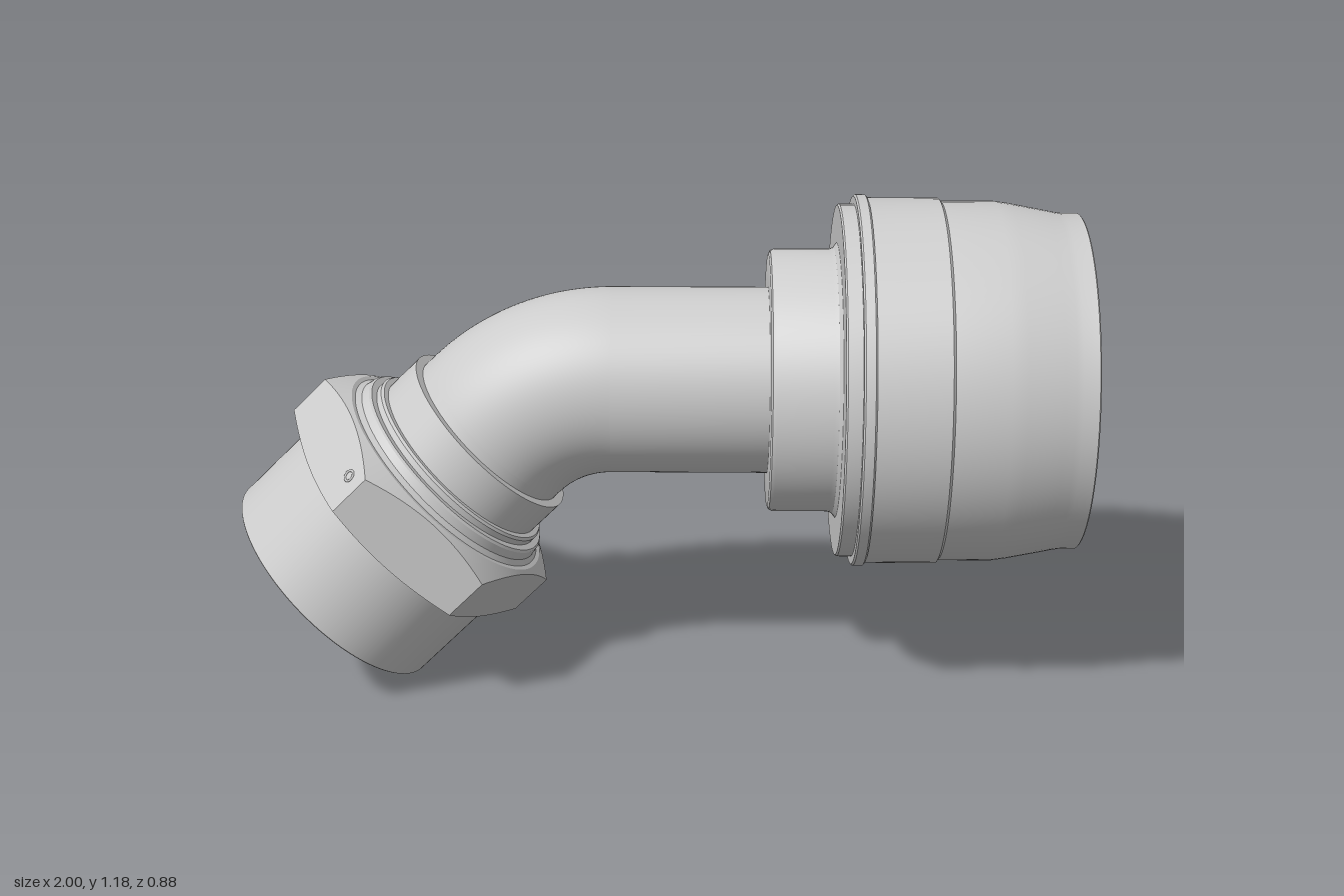
import * as THREE from 'three';
import { toCreasedNormals } from 'three/addons/utils/BufferGeometryUtils.js';

const material = new THREE.MeshStandardMaterial({ color: 0xcccccc, side: THREE.DoubleSide });
const AXIS_Y = 0.745, BEND_X = -0.1, BEND_R = 0.39, PIPE_R = 0.222, BORE_R = 0.19;

function addMesh(parent, name, geometry) {
  const mesh = new THREE.Mesh(geometry, material);
  mesh.name = name;
  parent.add(mesh);
  return mesh;
}

// Turned part: profile of [radius, distance along axis]
function turned(profile, segments = 96) {
  const points = profile.map(([r, s]) => new THREE.Vector2(r, s));
  return toCreasedNormals(new THREE.LatheGeometry(points, segments), 0.45);
}

// Hexagon ring: a lathe whose outer rings are pushed out to six flats, corners chamfered
function hexGeometry(apothem, low, high) {
  const points = [[0.27, low], [0.31, low], [1, low], [1, high], [0.31, high], [0.27, high]];
  const geo = new THREE.LatheGeometry(points.map(([r, s]) => new THREE.Vector2(r, s)), 96);
  const pos = geo.attributes.position;
  const sector = Math.PI / 3;
  for (let i = 0; i < pos.count; i++) {
    const x = pos.getX(i), z = pos.getZ(i);
    if (Math.hypot(x, z) < 0.9) continue;
    const a = Math.atan2(z, x) + Math.PI * 2 + 1e-6;
    const r = apothem / Math.cos((a % sector) - sector / 2);
    const y = pos.getY(i);
    const chamfer = y < (low + high) / 2 ? (r - 0.31) * 0.35 : -(r - 0.31) * 0.58;
    pos.setXYZ(i, x * r, y + chamfer, z * r);
  }
  return toCreasedNormals(geo, 0.3);
}

export function createModel() {
  const model = new THREE.Group();
  model.name = 'elbowFitting';

  // Straight pipe and coupling head, along +x
  const head = new THREE.Group();
  head.name = 'couplingHead';
  head.rotation.z = -Math.PI / 2;
  head.position.y = AXIS_Y;
  model.add(head);
  addMesh(head, 'straightPipeAndCollar', turned([
    [PIPE_R, BEND_X], [PIPE_R, 0.27],
    [0.3, 0.27], [0.309, 0.274], [0.313, 0.283],
    [0.313, 0.413], [0.317, 0.424], [0.328, 0.432], [0.34, 0.434],
  ]));
  addMesh(head, 'sleeve', turned([
    [0.3, 0.432], [0.416, 0.432], [0.42, 0.436], [0.42, 0.47],
    [0.438, 0.47], [0.442, 0.474], [0.442, 0.496], [0.438, 0.5],
    [0.435, 0.5], [0.435, 0.668], [0.428, 0.674], [0.428, 0.8],
    [0.423, 0.835], [0.407, 0.92], [0.402, 0.945], [0.4, 0.96], [0.4, 0.997],
    [0.397, 1], [0.38, 1], [0.376, 0.99], [0.376, 0.88], [0.3, 0.88],
  ]));
  addMesh(head, 'innerNipple', turned([
    [0.31, 0.87], [0.31, 0.955], [0.306, 0.966], [0.298, 0.97], [0.29, 0.968],
    [0.285, 0.96], [BORE_R, 0.51], [BORE_R, BEND_X],
  ]));

  // 45 degree bend, outside wall and bore
  for (const [name, r] of [['bend', PIPE_R], ['bendBore', BORE_R]]) {
    const bend = addMesh(model, name, new THREE.TorusGeometry(BEND_R, r, 96, 32, Math.PI / 4));
    bend.position.set(BEND_X, AXIS_Y - BEND_R, 0);
    bend.rotation.z = Math.PI / 2;
  }

  // Angled end; its axis runs from the open face up into the bend
  const tail = new THREE.Group();
  tail.name = 'angledEnd';
  tail.rotation.z = -Math.PI / 4;
  tail.position.set(-0.785, 0.222, 0);
  model.add(tail);
  addMesh(tail, 'nutSkirt', turned([
    [0.235, 0.22], [0.275, 0.22], [0.275, 0.02], [0.29, 0],
    [0.304, 0], [0.307, 0.003], [0.307, 0.24],
  ]));
  addMesh(tail, 'hexNut', hexGeometry(0.32, 0.233, 0.4));
  addMesh(tail, 'retainingRings', turned([
    [0.3, 0.399], [0.287, 0.41], [0.283, 0.43], [0.278, 0.435], [0.262, 0.435],
    [0.262, 0.45], [0.257, 0.456], [0.244, 0.456],
    [0.244, 0.553], [PIPE_R, 0.553], [PIPE_R, 0.58],
  ]));
  addMesh(tail, 'tailBore', turned([
    [BORE_R, 0.58], [BORE_R, 0.42], [0.235, 0.22],
  ]));

  // Small wire hole rim on one nut flat
  const hole = addMesh(tail, 'wireHole', new THREE.TorusGeometry(0.013, 0.003, 8, 24));
  hole.position.set(-0.21, 0.33, 0.277);
  hole.rotation.y = -Math.PI / 3;

  return model;
}
